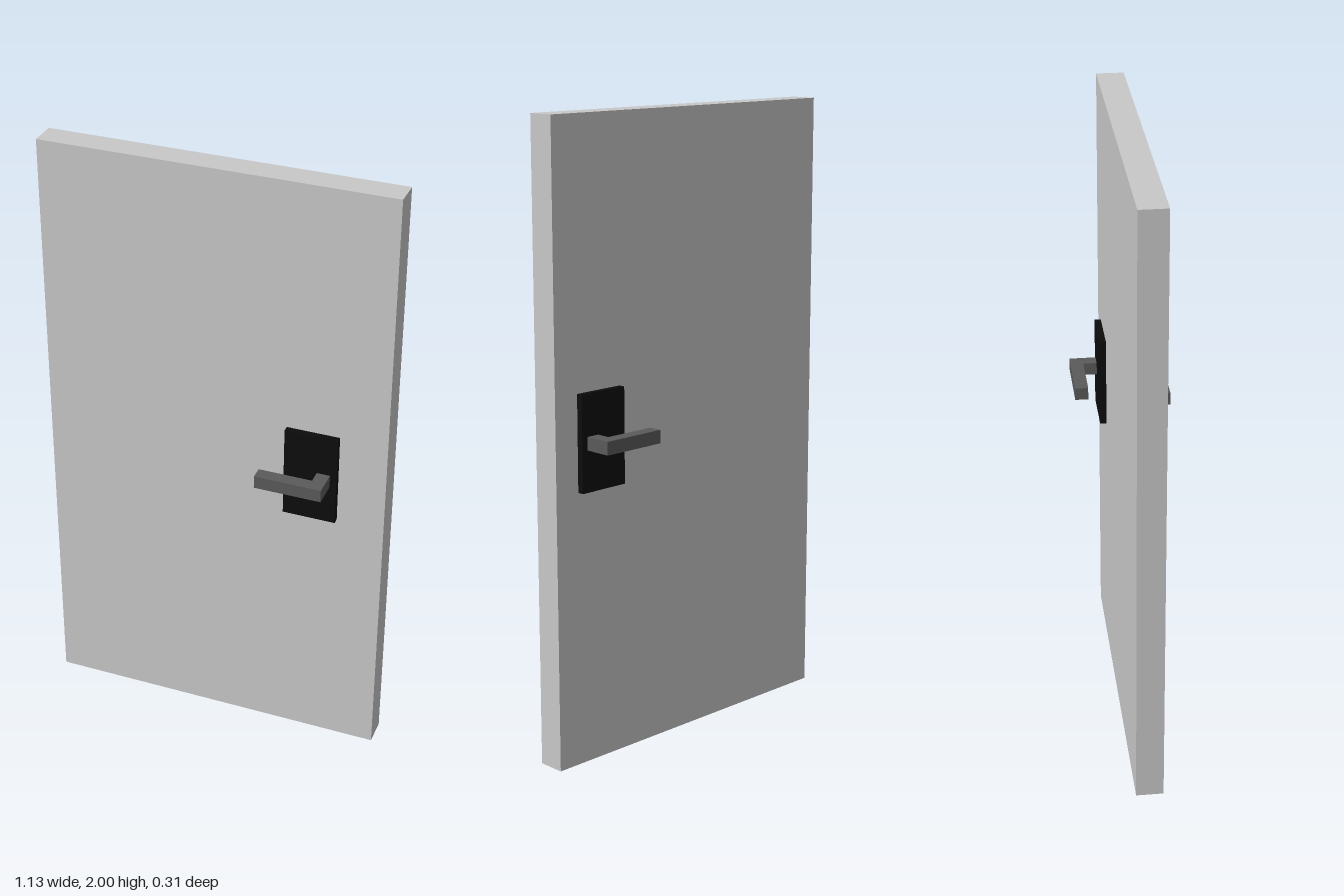
import * as THREE from 'three';

const material = (name, color) => {
  const m = new THREE.MeshStandardMaterial({ color });
  m.name = name;
  return m;
};

export function createModel() {
  const lightGrey = material('light grey', 0xc8c8c8);
  const darkGrey = material('dark grey', 0x5a5a5a);
  const black = material('black', 0x0c0c0c);

  const model = new THREE.Group();
  model.name = 'door';

  // Door slab
  const slab = new THREE.Mesh(new THREE.BoxGeometry(1.13, 2, 0.088), lightGrey);
  slab.name = 'doorPanel';
  slab.position.y = 1;
  model.add(slab);

  // Plate with an L-shaped lever; side is +1 for the front, -1 for the back
  function addHandle(name, x, side) {
    const handle = new THREE.Group();
    handle.name = name;
    handle.position.x = x;

    const plate = new THREE.Mesh(new THREE.BoxGeometry(0.172, 0.304, 0.021), black);
    plate.name = 'backPlate';
    plate.position.set(0, 1.024, side * 0.0545);

    // L outline in plan, extruded to the lever's height
    const outline = new THREE.Shape([
      [0.065, 0.065], [0.065, 0.153], [-0.152, 0.153],
      [-0.152, 0.11], [0.022, 0.11], [0.022, 0.065],
    ].map(([px, pz]) => new THREE.Vector2(px, -side * pz)));
    const geometry = new THREE.ExtrudeGeometry(outline, { depth: 0.042, bevelEnabled: false });
    geometry.rotateX(-Math.PI / 2);
    const lever = new THREE.Mesh(geometry, darkGrey);
    lever.name = 'lever';
    lever.position.y = 1.003;

    handle.add(plate, lever);
    model.add(handle);
  }

  addHandle('frontHandle', 0.326, 1);
  addHandle('backHandle', 0.392, -1);

  return model;
}
